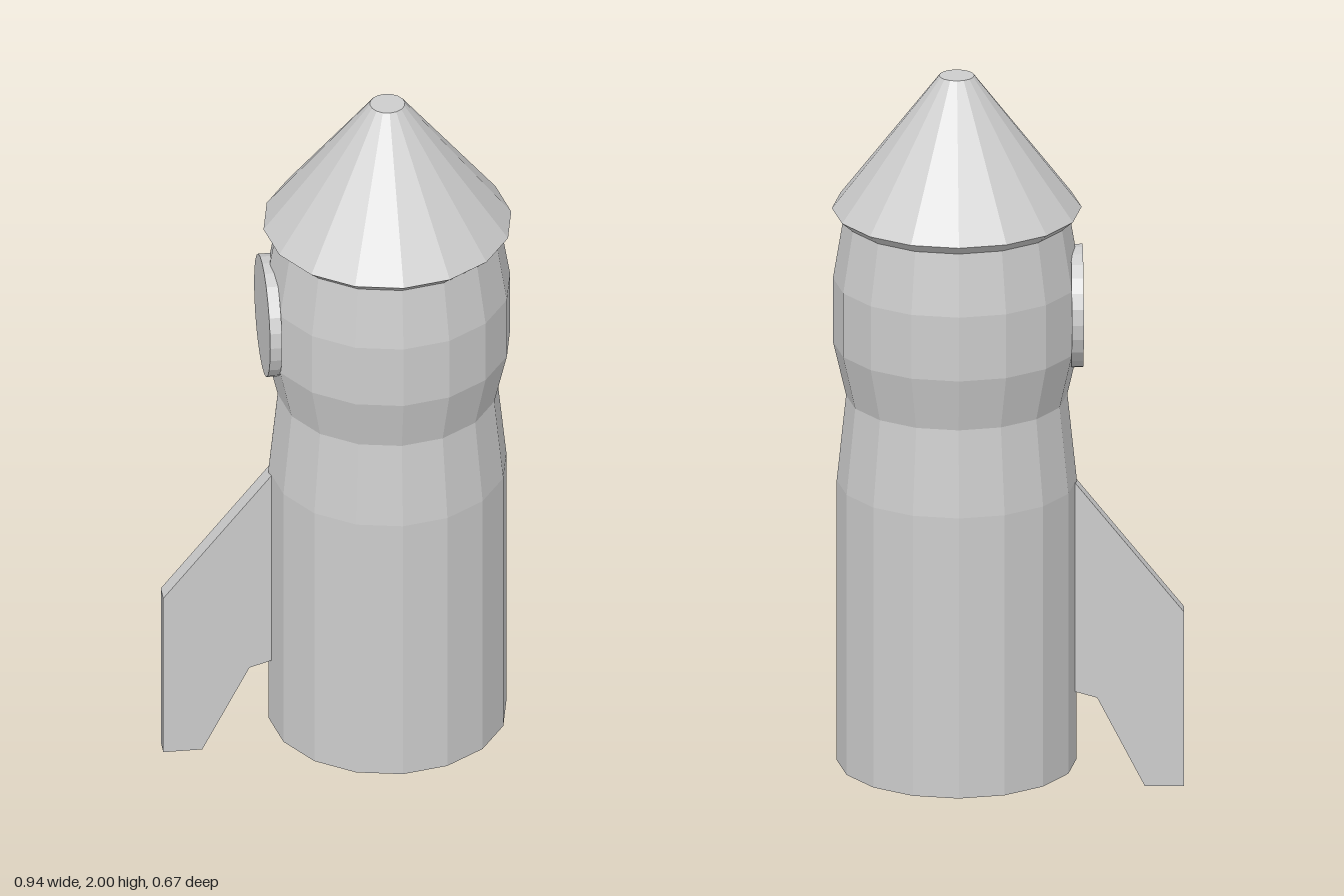
import * as THREE from 'three';

const AXIS_X = 0.136;
const SIDES = 16;

export function createModel() {
  const model = new THREE.Group();
  model.name = 'rocket';
  const grey = new THREE.MeshStandardMaterial({ color: 0xcccccc, flatShading: true });
  grey.name = 'plain grey';

  const add = (name, geometry, x, y, z) => {
    const mesh = new THREE.Mesh(geometry, grey);
    mesh.name = name;
    mesh.position.set(x, y, z);
    model.add(mesh);
    return mesh;
  };

  // Faceted solid of revolution from [radius, height] pairs, bottom to top
  const turned = (name, profile) => add(
    name,
    new THREE.LatheGeometry(profile.map(([r, y]) => new THREE.Vector2(r, y)), SIDES),
    AXIS_X, 0, 0
  );

  // Hull: straight lower body, narrow waist and bulging cabin
  turned('hull', [
    [0, 0.07], [0.32, 0.07], [0.32, 0.86], [0.295, 1.1],
    [0.33, 1.25], [0.33, 1.43], [0.302, 1.6], [0, 1.6],
  ]);

  // Nose cone with a flared rim and a small flat tip
  turned('noseCone', [
    [0, 1.6], [0.302, 1.6], [0.333, 1.627], [0.047, 2], [0, 2],
  ]);

  // Round porthole on the right side
  const porthole = add('porthole', new THREE.CylinderGeometry(0.165, 0.165, 0.032, 24), -0.184, 1.35, -0.005);
  porthole.rotation.z = Math.PI / 2;

  // Single swept fin, rooted slightly inside the hull
  const outline = [
    [-0.47, 0], [-0.365, 0], [-0.238, 0.25], [-0.17, 0.27],
    [-0.17, 0.868], [-0.47, 0.49],
  ].map(([x, y]) => new THREE.Vector2(x, y));
  const finGeometry = new THREE.ExtrudeGeometry(new THREE.Shape(outline), { depth: 0.05, bevelEnabled: false });
  add('fin', finGeometry, 0, 0, -0.025);

  return model;
}
